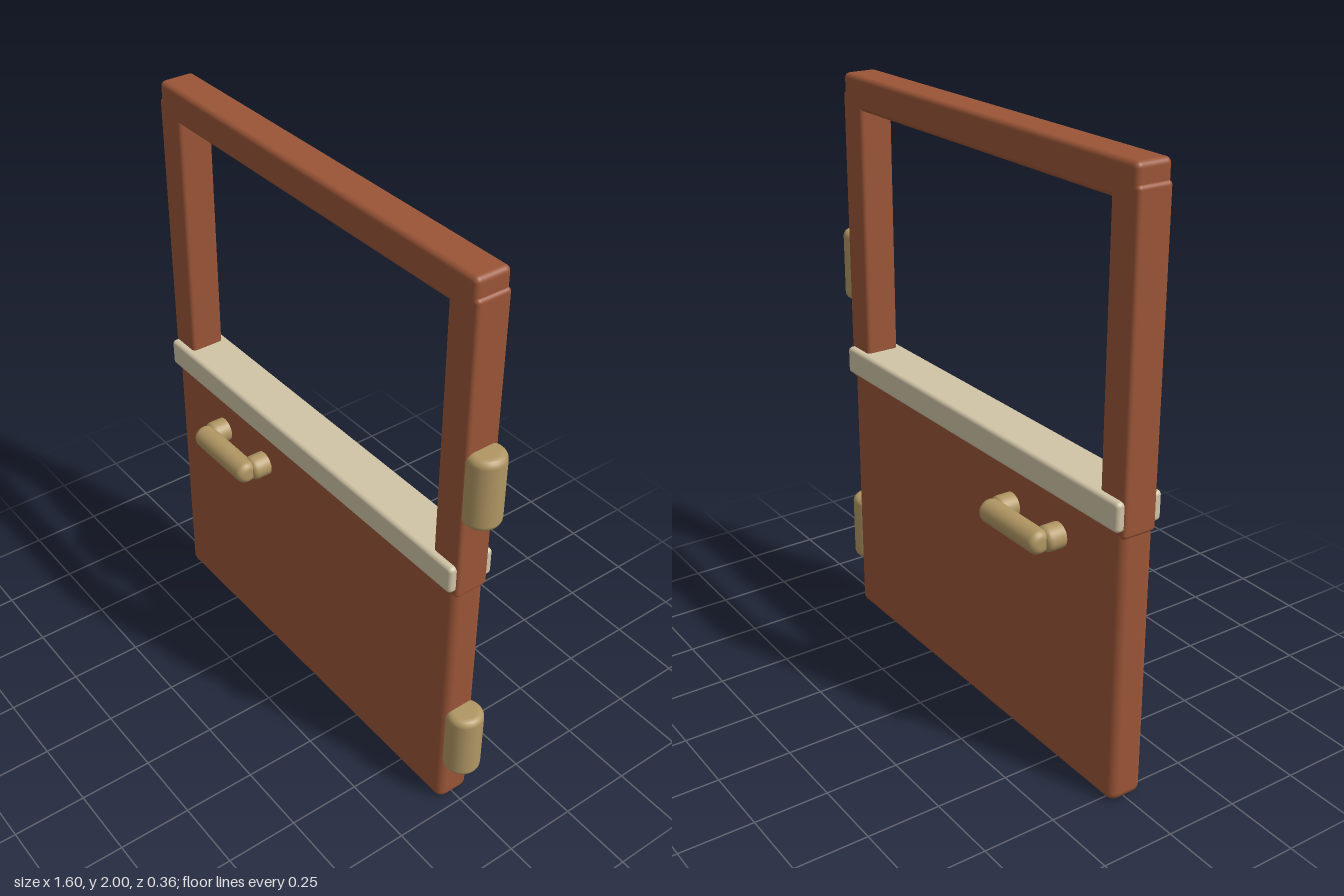
import * as THREE from 'three';
import { RoundedBoxGeometry } from 'three/addons/geometries/RoundedBoxGeometry.js';

const paint = (name, color) => Object.assign(new THREE.MeshStandardMaterial({ color }), { name });

export function createModel() {
  const door = new THREE.Group();
  door.name = 'door';
  const brown = paint('brown', 0x9a5537);
  const cream = paint('cream', 0xd0c4a6);
  const brass = paint('brass', 0xb09663);

  // Rounded box given by its x and y limits and its depth
  function slab(name, x0, x1, y0, y1, depth, radius, material) {
    const mesh = new THREE.Mesh(new RoundedBoxGeometry(x1 - x0, y1 - y0, depth, 4, radius), material);
    mesh.name = name;
    mesh.position.set((x0 + x1) / 2, (y0 + y1) / 2, 0);
    door.add(mesh);
  }

  // Brass cylinder along y with rounded rims
  function roundedRod(name, radius, length, rim) {
    const h = length / 2;
    const points = [new THREE.Vector2(0, -h)];
    for (const s of [-1, 1]) {
      for (let i = 0; i <= 5; i++) {
        const a = (s < 0 ? i - 5 : i) / 5 * Math.PI / 2;
        points.push(new THREE.Vector2(radius - rim + rim * Math.cos(a), s * (h - rim) + rim * Math.sin(a)));
      }
    }
    points.push(new THREE.Vector2(0, h));
    const mesh = new THREE.Mesh(new THREE.LatheGeometry(points, 32), brass);
    mesh.name = name;
    return mesh;
  }

  // Lower panel and window frame
  slab('lowerPanel', -0.794, 0.716, 0, 0.96, 0.122, 0.03, brown);
  slab('rightPost', -0.8, -0.685, 0.915, 1.94, 0.12, 0.014, brown);
  slab('leftPost', 0.61, 0.725, 0.915, 1.94, 0.12, 0.014, brown);
  slab('topRail', -0.792, 0.717, 1.886, 2, 0.122, 0.018, brown);

  // Trim rail below the window
  slab('trimRail', -0.794, 0.717, 0.94, 1.036, 0.166, 0.014, cream);

  // Hinges on the left edge
  for (const [name, y] of [['lowerHinge', 0.295], ['upperHinge', 1.325]]) {
    const hinge = roundedRod(name, 0.061, 0.25, 0.024);
    hinge.position.set(0.739, y, 0);
    door.add(hinge);
  }

  // Pull handles on both faces: two stubs and a grip
  for (const side of [1, -1]) {
    const handle = new THREE.Group();
    handle.name = side > 0 ? 'frontHandle' : 'backHandle';
    for (const x of [-0.502, -0.262]) {
      const stub = roundedRod('handleStub', 0.042, 0.085, 0.02);
      stub.rotation.x = Math.PI / 2;
      stub.position.set(x, 0.81, side * 0.084);
      handle.add(stub);
    }
    const grip = roundedRod('handleGrip', 0.04, 0.292, 0.025);
    grip.rotation.z = Math.PI / 2;
    grip.position.set(-0.382, 0.81, side * 0.14);
    handle.add(grip);
    door.add(handle);
  }
  return door;
}
